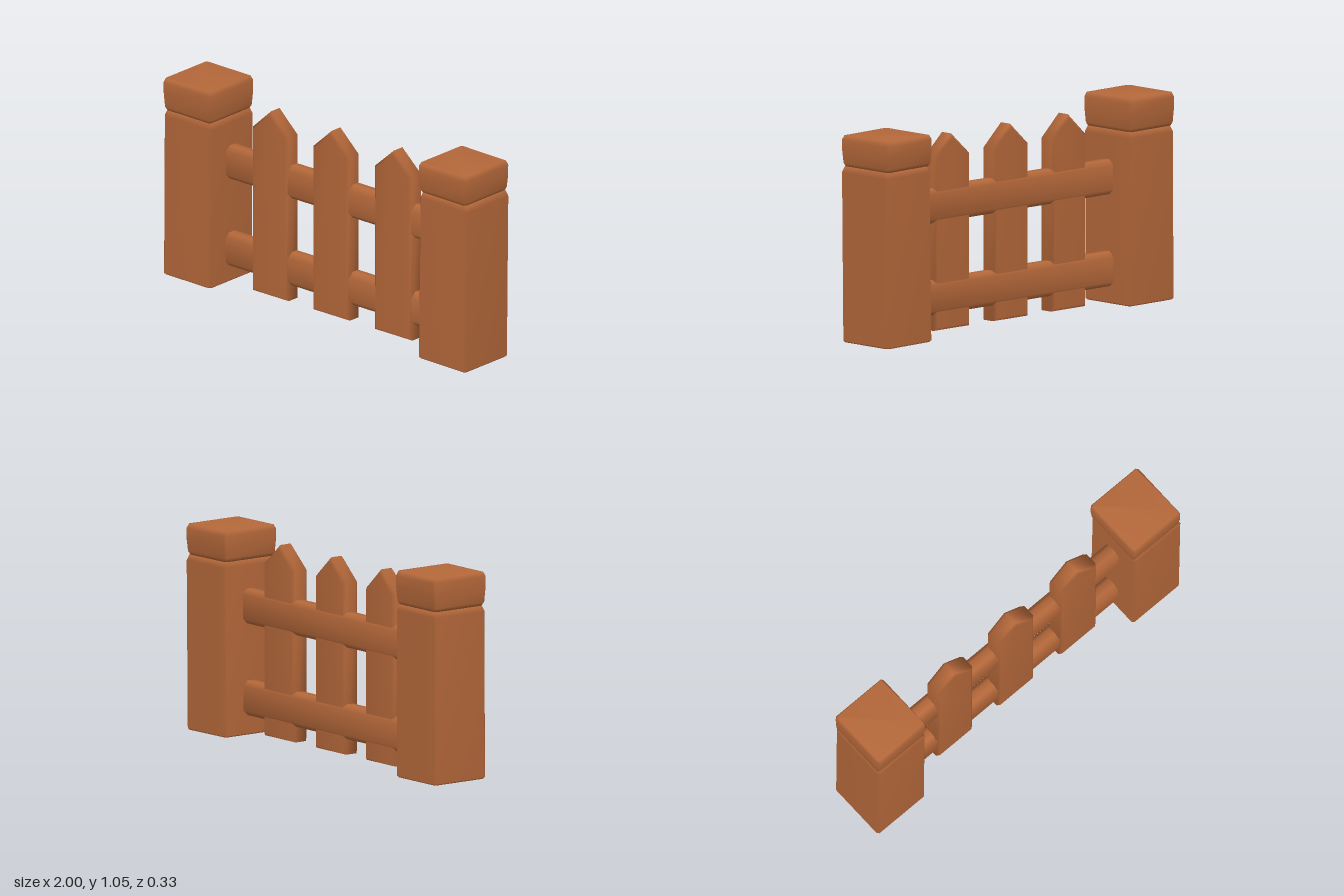
import * as THREE from 'three';
import { mergeVertices } from 'three/addons/utils/BufferGeometryUtils.js';

// Solid from stacked rectangles with chamfered corners; each ring is [y, halfWidth, halfDepth]
function loft(rings, chamfer) {
  const pos = [], index = [];
  for (const [y, w, d] of rings) {
    const a = w - chamfer, b = d - chamfer;
    const ring = [[w, b], [w, -b], [a, -d], [-a, -d], [-w, -b], [-w, b], [-a, d], [a, d]];
    for (const [x, z] of ring) pos.push(x, y, z);
  }
  const last = rings.length - 1;
  for (let r = 0; r < last; r++) {
    for (let i = 0; i < 8; i++) {
      const a = r * 8 + i, b = r * 8 + (i + 1) % 8;
      index.push(a, b, b + 8, a, b + 8, a + 8);
    }
  }
  for (let i = 1; i < 7; i++) {
    index.push(0, i + 1, i);
    index.push(last * 8, last * 8 + i, last * 8 + i + 1);
  }
  const g = new THREE.BufferGeometry();
  g.setAttribute('position', new THREE.Float32BufferAttribute(pos, 3));
  g.setIndex(index);
  g.computeVertexNormals();
  return g;
}

// Pointed board with softened edges, y from 0 to its peak
function picketGeometry(width, shoulder, peak, depth) {
  const w = width / 2, bevel = 0.014;
  const shape = new THREE.Shape([
    new THREE.Vector2(-w, 0), new THREE.Vector2(w, 0), new THREE.Vector2(w, shoulder),
    new THREE.Vector2(0, peak), new THREE.Vector2(-w, shoulder),
  ]);
  let g = new THREE.ExtrudeGeometry(shape, {
    depth: depth - 2 * bevel, bevelThickness: bevel, bevelSize: bevel,
    bevelOffset: -bevel, bevelSegments: 1,
  });
  g.translate(0, 0, bevel);
  g.deleteAttribute('normal');
  g.deleteAttribute('uv');
  g = mergeVertices(g, 1e-4);
  g.computeVertexNormals();
  return g;
}

export function createModel() {
  const fence = new THREE.Group();
  fence.name = 'fence';
  const wood = new THREE.MeshStandardMaterial({ color: 0xb5683a });
  wood.name = 'wood';

  const add = (name, geometry, x, y, z) => {
    const mesh = new THREE.Mesh(geometry, wood);
    mesh.name = name;
    mesh.position.set(x, y, z);
    fence.add(mesh);
    return mesh;
  };

  // Square posts with bulging caps, slightly uneven
  const posts = [
    { side: 'right', x: -0.84, y: 0.02, h: 0.872, capH: 0.168, tilt: -0.005 },
    { side: 'left', x: 0.841, y: 0.006, h: 0.882, capH: 0.155, tilt: -0.012 },
  ];
  for (const { side, x, y, h, capH, tilt } of posts) {
    const post = add(side + 'Post', loft([
      [0, 0.149, 0.153], [0.008, 0.156, 0.161],
      [h - 0.03, 0.156, 0.16], [h, 0.145, 0.15],
    ], 0.01), x - 0.002, y, 0);
    post.rotation.z = tilt;
    const cap = add(side + 'PostCap', loft([
      [0, 0.145, 0.15], [0.018, 0.154, 0.159], [capH * 0.5, 0.158, 0.164],
      [capH - 0.022, 0.157, 0.166], [capH, 0.15, 0.156],
    ], 0.01), x, y + h - 0.002, 0);
    cap.rotation.z = tilt;
  }

  // Horizontal rails with rounded long edges
  for (const [name, y] of [['lowerRail', 0.194], ['upperRail', 0.655]]) {
    const rail = add(name, loft([[-0.72, 0.087, 0.046], [0.72, 0.087, 0.046]], 0.026), 0, y, 0);
    rail.rotation.z = Math.PI / 2;
  }

  // Pointed pickets
  const pickets = [
    ['rightPicket', -0.391, 0.236], ['middlePicket', 0.01, 0.24], ['leftPicket', 0.419, 0.245],
  ];
  for (const [name, x, width] of pickets) {
    add(name, picketGeometry(width, 0.865, 0.975, 0.092), x, 0.028, -0.037);
  }

  // Rest on the ground, centred
  const box = new THREE.Box3().setFromObject(fence, true);
  const centre = box.getCenter(new THREE.Vector3());
  for (const part of fence.children) {
    part.position.x -= centre.x;
    part.position.y -= box.min.y;
  }
  return fence;
}
